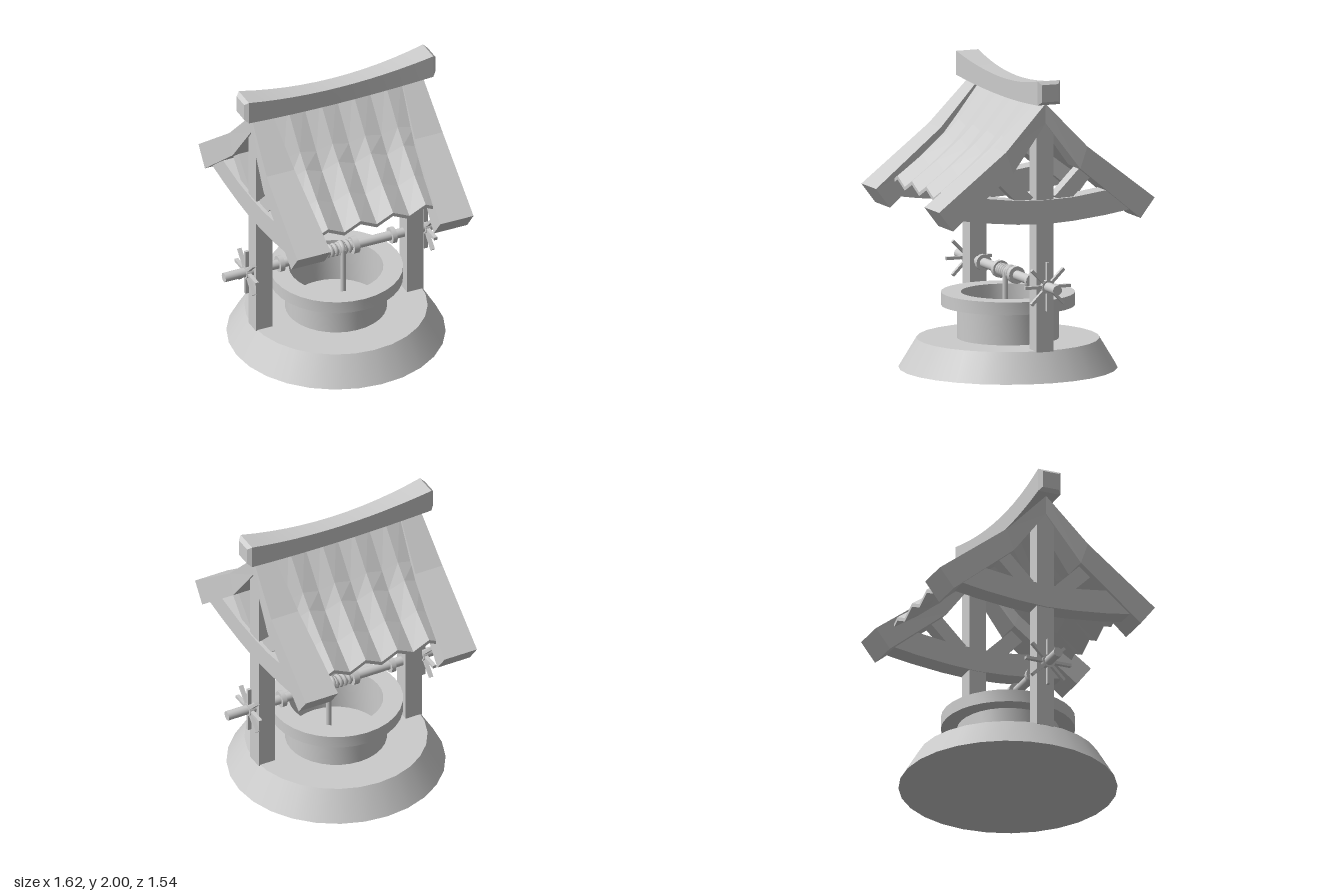
import * as THREE from 'three';
import { toCreasedNormals } from 'three/addons/utils/BufferGeometryUtils.js';

const material = new THREE.MeshStandardMaterial({ color: 0xcccccc });

function add(parent, name, geometry, x = 0, y = 0, z = 0) {
  const mesh = new THREE.Mesh(geometry, material);
  mesh.name = name;
  mesh.position.set(x, y, z);
  parent.add(mesh);
  return mesh;
}

// Flat-faced solid through equal rings of [x, y, z]; caps are strips between both ring halves
function loft(rings) {
  const pos = [];
  const quad = (a, b, c, d) => pos.push(...a, ...b, ...c, ...a, ...c, ...d);
  const n = rings[0].length;
  for (let i = 0; i < rings.length - 1; i++) {
    for (let j = 0; j < n; j++) {
      const k = (j + 1) % n;
      quad(rings[i][j], rings[i][k], rings[i + 1][k], rings[i + 1][j]);
    }
  }
  const first = rings[0], last = rings[rings.length - 1];
  for (let j = 0; j < n / 2 - 1; j++) {
    const k = n - 1 - j;
    quad(last[j], last[j + 1], last[k - 1], last[k]);
    quad(first[k], first[k - 1], first[j + 1], first[j]);
  }
  const g = new THREE.BufferGeometry();
  g.setAttribute('position', new THREE.Float32BufferAttribute(pos, 3));
  g.computeVertexNormals();
  return g;
}

// Half profile (centre first) continued to -z, ordered from back to front
const mirrorZ = (half) => [
  ...half.slice(1).reverse().map((s) => ({ ...s, z: -s.z, zb: -(s.zb ?? s.z) })),
  ...half,
];

// Beam running along z with a rectangular section
const beamAlongZ = (half) => loft(mirrorZ(half).map(({ z, zb = z, top, bottom, x0, x1 }) => [
  [x0, bottom, zb], [x1, bottom, zb], [x1, top, z], [x0, top, z],
]));

const disc = (r, width, segments = 16) =>
  new THREE.CylinderGeometry(r, r, width, segments).rotateZ(Math.PI / 2);

// Post, rafters, tie beam, struts and spoked handle at +x
function createSide() {
  const side = new THREE.Group();
  add(side, 'post', new THREE.BoxGeometry(0.12, 1.56, 0.12), 0.545, 0.97, 0);
  add(side, 'rafters', beamAlongZ([
    { z: 0, top: 1.84, bottom: 1.71, x0: 0.47, x1: 0.615 },
    { z: 0.29, zb: 0.24, top: 1.54, bottom: 1.395, x0: 0.435, x1: 0.635 },
    { z: 0.77, zb: 0.67, top: 1.17, bottom: 1.04, x0: 0.395, x1: 0.635 },
  ]));
  const tie = { x0: 0.48, x1: 0.615 };
  add(side, 'tieBeam', beamAlongZ([
    { ...tie, z: 0, top: 1.2, bottom: 1.04 },
    { ...tie, z: 0.2, top: 1.207, bottom: 1.05 },
    { ...tie, z: 0.43, top: 1.237, bottom: 1.074 },
    { ...tie, z: 0.6, top: 1.2, bottom: 1.1 },
  ]));
  for (const s of [-1, 1]) {
    const strut = add(side, 'strut', new THREE.BoxGeometry(0.09, 0.3, 0.1), 0.545, 1.29, s * 0.22);
    strut.rotation.x = s * Math.PI / 4;
  }

  const handle = new THREE.Group();
  handle.name = 'spokedHandle';
  handle.position.set(0.645, 0.63, 0);
  add(handle, 'handleHub', disc(0.045, 0.034));
  for (let i = 0; i < 4; i++) {
    add(handle, 'spokePair', new THREE.BoxGeometry(0.026, 0.324, 0.02)).rotation.x = i * Math.PI / 4;
  }
  side.add(handle);

  // Collars on the axle
  add(side, 'outerCollar', disc(0.055, 0.032), 0.405, 0.63, 0);
  add(side, 'drumFlange', disc(0.058, 0.04), 0.13, 0.63, 0);
  return side;
}

// Sheet with vertical zigzag folds that deepen towards the eaves
function createRoof() {
  const stations = mirrorZ([
    { z: 0, y: 1.83, fold: 0.01 },
    { z: 0.2, y: 1.59, fold: 0.014 },
    { z: 0.29, y: 1.495, fold: 0.022 },
    { z: 0.46, y: 1.355, fold: 0.026 },
    { z: 0.635, y: 1.228, fold: 0.028 },
  ]);
  return loft(stations.map(({ z, y, fold }) => {
    const upper = [];
    for (let i = -4; i <= 4; i++) upper.push([i * 0.1175, y + (i % 2 ? fold : -fold), z]);
    const lower = upper.map(([px, py, pz]) => [px, py - 0.025, pz]);
    return [...lower, ...upper.reverse()];
  }));
}

// Sagging beam, thicker at its chamfered ends
function createRidge() {
  const rings = [];
  const ring = (x, inset) => {
    const t = Math.min(1, (x / 0.665) ** 2);
    const w = 0.06 + 0.02 * t - inset;
    const b = 1.807 + 0.034 * t + inset, h = 1.93 + 0.07 * t - inset;
    rings.push([[x, b, w], [x, b, -w], [x, h, -w], [x, h, w]]);
  };
  ring(-0.69, 0.022);
  for (let i = -6; i <= 6; i++) ring(i * 0.665 / 6, 0);
  ring(0.69, 0.022);
  return toCreasedNormals(loft(rings), 0.3);
}

export function createModel() {
  const model = new THREE.Group();
  model.name = 'well';

  // Stone base and well wall with a wide rim
  add(model, 'base', new THREE.CylinderGeometry(0.6, 0.718, 0.197, 28), 0, 0.0985, 0);
  const wall = [[0.335, 0.19], [0.335, 0.415], [0.44, 0.415], [0.44, 0.5], [0.31, 0.5], [0.31, 0.19]]
    .map(([r, y]) => new THREE.Vector2(r, y));
  add(model, 'wellWall', toCreasedNormals(new THREE.LatheGeometry(wall, 32), 0.6));

  // Timber sides
  for (const [name, angle] of [['leftSide', 0], ['rightSide', Math.PI]]) {
    const side = createSide();
    side.name = name;
    side.rotation.y = angle;
    model.add(side);
  }

  add(model, 'roof', createRoof());
  add(model, 'ridgeBeam', createRidge());

  // Axle with wound and hanging rope
  add(model, 'axle', disc(0.032, 1.62), 0, 0.63, 0);
  const turns = 7, coil = [];
  for (let i = 0; i <= turns * 12; i++) {
    const a = i * Math.PI / 6;
    coil.push(new THREE.Vector3(-0.11 + 0.22 * i / (turns * 12), 0.034 * Math.cos(a), 0.034 * Math.sin(a)));
  }
  add(model, 'ropeCoil',
    new THREE.TubeGeometry(new THREE.CatmullRomCurve3(coil), turns * 14, 0.013, 6), 0, 0.63, 0);
  add(model, 'ropeLoop', new THREE.TorusGeometry(0.036, 0.018, 8, 20).rotateY(Math.PI / 2), 0.035, 0.63, 0);
  add(model, 'hangingRope', new THREE.CylinderGeometry(0.018, 0.018, 0.41, 10), 0.035, 0.425, 0.036);
  return model;
}
